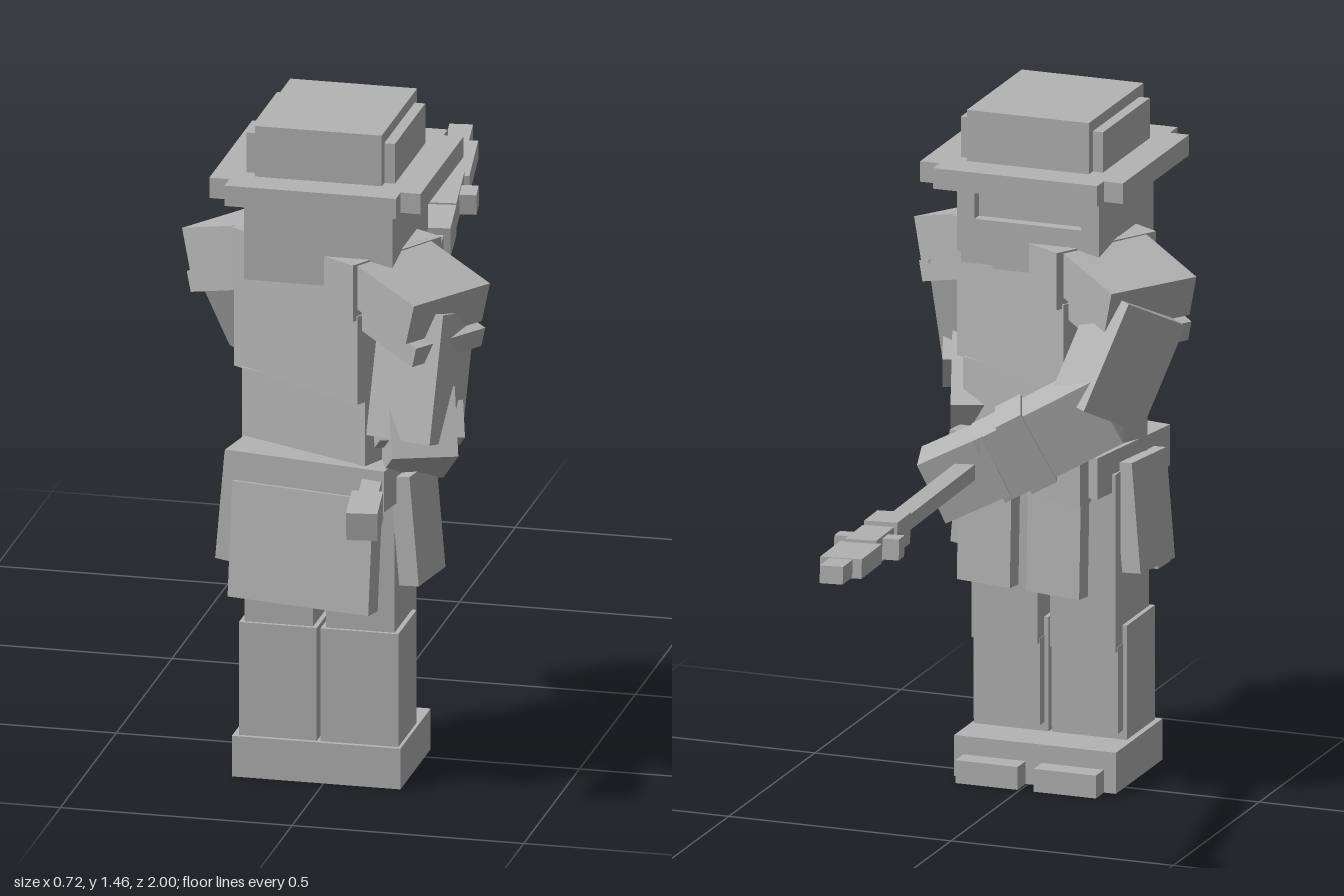
import * as THREE from 'three';

const armour = new THREE.MeshStandardMaterial({ color: 0xb4b4b4 });
armour.name = 'plainGrey';

// Box given by its size and centre
function box(parent, name, size, pos, rot = [0, 0, 0]) {
  const m = new THREE.Mesh(new THREE.BoxGeometry(...size), armour);
  m.name = name;
  m.position.set(...pos);
  m.rotation.set(...rot);
  parent.add(m);
  return m;
}

// Box given by its x, y and z ranges
function span(parent, name, x0, x1, y0, y1, z0, z1) {
  return box(parent, name, [x1 - x0, y1 - y0, z1 - z0],
    [(x0 + x1) / 2, (y0 + y1) / 2, (z0 + z1) / 2]);
}

// Group at a point whose local +z runs towards a target
function aimed(parent, name, from, to) {
  const g = new THREE.Group();
  g.name = name;
  g.position.set(...from);
  g.lookAt(new THREE.Vector3(...to));
  parent.add(g);
  return g;
}

function limb(parent, name, from, to, w, h) {
  const g = aimed(parent, name, from, to);
  const len = new THREE.Vector3(...from).distanceTo(new THREE.Vector3(...to));
  box(g, name + 'Block', [w, h, len], [0, 0, len / 2]);
  return g;
}

// Group turned about the body's upright axis
function turned(parent, name, degrees) {
  const g = new THREE.Group();
  g.name = name;
  g.position.set(0, 0, 0.606);
  g.rotation.y = THREE.MathUtils.degToRad(degrees);
  parent.add(g);
  return g;
}

export function createModel() {
  const model = new THREE.Group();
  model.name = 'armouredGuard';

  // Feet and legs
  span(model, 'feet', -0.198, 0.166, 0, 0.09, 0.447, 0.718);
  for (const s of [-1, 1]) {
    const x = -0.013 + s * 0.088;
    span(model, 'toe', x - 0.07, x + 0.07, 0, 0.05, 0.4, 0.447);
    span(model, 'boot', x - 0.084, x + 0.084, 0.09, 0.34, 0.544, 0.708);
    span(model, 'shinGuard', x - 0.075, x + 0.075, 0.11, 0.3, 0.517, 0.6);
    span(model, 'thigh', x - 0.074, x + 0.074, 0.29, 0.68, 0.505, 0.7);
  }

  // Belt and hanging skirt plates
  const hips = turned(model, 'hips', -10);
  span(hips, 'belt', -0.182, 0.182, 0.64, 0.73, -0.13, 0.165);
  box(hips, 'backSkirt', [0.322, 0.25, 0.05], [0, 0.54, 0.163], [-0.1, 0, 0]);
  for (const s of [-1, 1]) {
    box(hips, 'sideSkirt', [0.045, 0.24, 0.14], [s * 0.2, 0.58, 0.03], [0, 0, s * 0.09]);
    box(hips, 'frontSkirt', [0.13, 0.25, 0.035], [s * 0.085, 0.545, -0.13], [0.03, 0, 0]);
    span(hips, 'pouch', s * 0.12 - 0.04, s * 0.12 + 0.04, 0.63, 0.75, -0.165, -0.12);
  }

  // Twisted torso
  const waist = turned(model, 'waist', -25);
  span(waist, 'waistBlock', -0.165, 0.165, 0.7, 0.88, -0.11, 0.11);
  const chest = turned(model, 'chest', -31);
  span(chest, 'chestBlock', -0.182, 0.182, 0.875, 1.07, -0.12, 0.12);
  span(chest, 'collar', -0.178, 0.178, 1.06, 1.185, -0.135, 0.13);

  // Shoulder plates, tilted down and outwards
  const shoulders = turned(model, 'shoulders', -33);
  for (const s of [-1, 1]) {
    box(shoulders, 'shoulderPlate', [0.2, 0.093, 0.22], [s * 0.245, 1.115, 0], [0, 0, -s * 0.27]);
    box(shoulders, 'lowerShoulderPlate', [0.17, 0.045, 0.2], [s * 0.262, 1.037, 0], [0, 0, -s * 0.27]);
  }

  // Rear arm
  limb(model, 'rearUpperArm', [0.23, 1.08, 0.74], [0.215, 0.81, 0.8], 0.15, 0.15);
  const rear = limb(model, 'rearForearm', [0.245, 0.86, 0.84], [0.15, 0.72, 0.58], 0.14, 0.15);
  box(rear, 'elbowPlate', [0.03, 0.08, 0.11], [0.075, 0.01, 0.09]);
  box(rear, 'elbowPlate', [0.03, 0.08, 0.11], [-0.075, 0.01, 0.09]);

  // Leading arm, reaching across the front
  limb(model, 'leadUpperArm', [-0.26, 1.08, 0.43], [-0.19, 0.86, 0.35], 0.15, 0.15);
  const lead = limb(model, 'leadForearm', [-0.21, 0.88, 0.36], [0.02, 0.75, 0.27], 0.14, 0.15);
  box(lead, 'cuff', [0.155, 0.165, 0.06], [0, 0, 0.19]);
  limb(model, 'leadHand', [0.0, 0.765, 0.275], [0.13, 0.7, 0.235], 0.14, 0.14);

  // Head with an eye slit on the -z face
  span(model, 'head', -0.16, 0.16, 1.12, 1.305, 0.472, 0.765);
  span(model, 'brow', -0.16, 0.16, 1.282, 1.305, 0.447, 0.473);
  span(model, 'faceGuard', -0.16, 0.16, 1.15, 1.225, 0.447, 0.473);
  span(model, 'chin', -0.08, 0.08, 1.12, 1.15, 0.447, 0.473);
  for (const s of [-1, 1]) {
    span(model, 'cheek', s * 0.14 - 0.02, s * 0.14 + 0.02, 1.225, 1.282, 0.447, 0.473);
  }

  // Brimmed helmet
  span(model, 'brimWide', -0.228, 0.228, 1.305, 1.35, 0.41, 0.795);
  span(model, 'brimLong', -0.185, 0.185, 1.305, 1.35, 0.372, 0.838);
  span(model, 'crown', -0.137, 0.137, 1.35, 1.462, 0.447, 0.765);
  span(model, 'crownSides', -0.16, 0.16, 1.35, 1.438, 0.47, 0.742);

  // Polearm: [name, width, height, start, end] along the shaft from its middle
  const pole = aimed(model, 'polearm', [0.017, 0.77, 0], [-0.115, 0.87, -0.995]);
  for (const [name, w, h, a, b] of [
    ['shaft', 0.042, 0.034, -0.95, 0.95],
    ['buttCap', 0.066, 0.062, -1.005, -0.89],
    ['lowerCollar', 0.072, 0.066, 0.445, 0.565],
    ['upperCollar', 0.068, 0.055, 0.585, 0.745],
    ['crossGuard', 0.14, 0.045, 0.64, 0.69],
    ['bladeBase', 0.09, 0.042, 0.74, 0.92],
    ['bladeTip', 0.05, 0.038, 0.91, 1.005],
  ]) box(pole, name, [w, h, b - a], [0, 0, (a + b) / 2]);

  return model;
}
